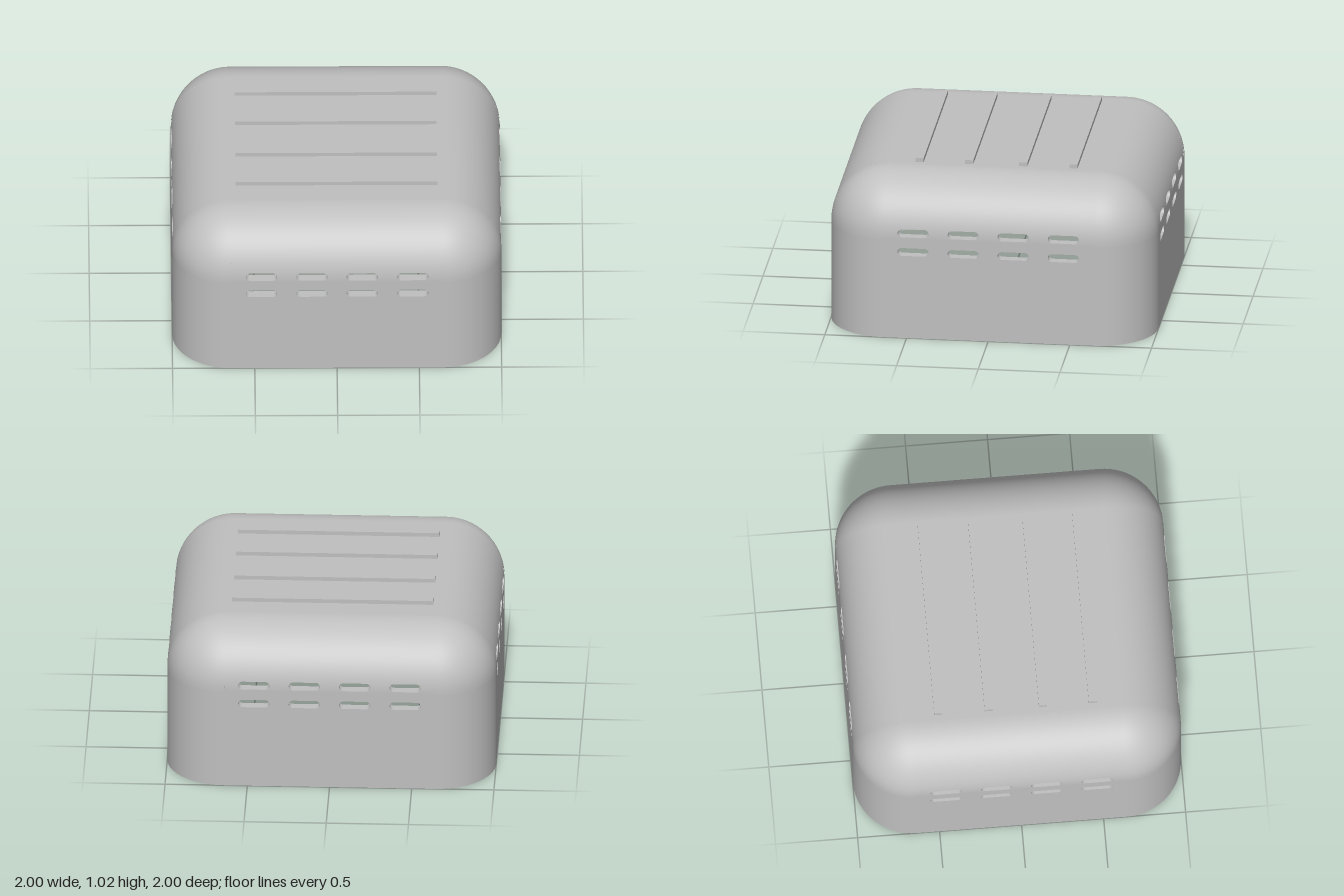
import * as THREE from 'three';

const FLAT = 0.64;      // half length of the flat part of each wall, and height where rounding starts
const R = 0.36;         // outer rounding radius
const T = 0.06;         // wall thickness
const RI = R - T;       // inner rounding radius
const STRIP = 0.08;     // height of the bent strip holding the upper slots
const SLOTS_X = [-0.46, -0.153, 0.153, 0.46];

const shellMaterial = new THREE.MeshStandardMaterial({ color: 0xc0c0c0 });
shellMaterial.name = 'light grey plastic';

function add(parent, name, geometry) {
  const mesh = new THREE.Mesh(geometry, shellMaterial);
  mesh.name = name;
  parent.add(mesh);
  return mesh;
}

function rectangle(x0, y0, x1, y1, Type = THREE.Shape) {
  const p = new Type();
  p.moveTo(x0, y0);
  p.lineTo(x1, y0);
  p.lineTo(x1, y1);
  p.lineTo(x0, y1);
  p.closePath();
  return p;
}

// Ventilation slot with round ends
function slot(cx, cy, w = 0.19, h = 0.05) {
  const p = new THREE.Path(), r = h / 2, a = w / 2 - r;
  p.moveTo(cx - a, cy - r);
  p.lineTo(cx + a, cy - r);
  p.absarc(cx + a, cy, r, -Math.PI / 2, Math.PI / 2, false);
  p.lineTo(cx - a, cy + r);
  p.absarc(cx - a, cy, r, Math.PI / 2, Math.PI * 1.5, false);
  return p;
}

function panel(y0, y1, holes, depth) {
  const shape = rectangle(-FLAT, y0, FLAT, y1);
  shape.holes.push(...holes);
  return new THREE.ExtrudeGeometry(shape, { depth, bevelEnabled: false, curveSegments: 10 });
}

// Lay a panel on the rounding: its front on the outer arc, its back on the inner arc
function bend(geometry) {
  const p = geometry.attributes.position, n = geometry.attributes.normal;
  for (let i = 0; i < p.count; i++) {
    const r = p.getZ(i) > T / 2 ? R : RI;
    const h = Math.max(0, p.getY(i) - FLAT);
    const c = Math.sqrt(r * r - h * h);
    const s = n.getZ(i);
    p.setZ(i, FLAT + c);
    if (Math.abs(s) > 0.5) n.setXYZ(i, 0, (s * h) / r, (s * c) / r);
  }
  return geometry;
}

// Rounded top edge of a wall, facing outward (1) or inward (-1)
function cove(r, facing) {
  const g = new THREE.PlaneGeometry(FLAT * 2, 1, 1, 20);
  if (facing < 0) g.rotateY(Math.PI);
  const p = g.attributes.position, n = g.attributes.normal;
  const start = Math.asin(STRIP / r);
  for (let i = 0; i < p.count; i++) {
    const a = THREE.MathUtils.lerp(start, Math.PI / 2, p.getY(i) + 0.5);
    p.setXYZ(i, p.getX(i), FLAT + r * Math.sin(a), FLAT + r * Math.cos(a));
    n.setXYZ(i, 0, facing * Math.sin(a), facing * Math.cos(a));
  }
  return g;
}

// Corner profile: straight up, then a quarter arc to the top
function cornerProfile(r) {
  const points = [new THREE.Vector2(r, 0), new THREE.Vector2(r, FLAT - 0.01)];
  for (let i = 0; i <= 20; i++) {
    const a = (i / 20) * Math.PI / 2;
    points.push(new THREE.Vector2(i === 20 ? 0 : r * Math.cos(a), FLAT + r * Math.sin(a)));
  }
  return points;
}

const quarterLathe = (points) =>
  new THREE.LatheGeometry(points, 20, 0, Math.PI / 2).translate(FLAT, 0, FLAT);

function makeSide() {
  const side = new THREE.Group();
  const lowSlots = () => SLOTS_X.map((x) => slot(x, 0.555));
  const highSlots = SLOTS_X.map((x) => slot(x, 0.675));
  // Shallow catches cut only into the inner layer of the wall
  const catches = [-0.39, 0.39].map((x) => rectangle(x - 0.125, 0.045, x + 0.125, 0.105, THREE.Path));

  add(side, 'outerWall', panel(0, FLAT, lowSlots(), T / 2).translate(0, 0, 1 - T / 2));
  add(side, 'innerWall', panel(0, FLAT, [...lowSlots(), ...catches], T / 2).translate(0, 0, 1 - T));
  add(side, 'upperSlotStrip', bend(panel(FLAT, FLAT + STRIP, highSlots, T)));
  add(side, 'outerTopEdge', cove(R, 1));
  add(side, 'innerTopEdge', cove(RI, -1));
  add(side, 'outerCorner', quarterLathe(cornerProfile(R)));
  add(side, 'innerCorner', quarterLathe(cornerProfile(RI).reverse()));
  add(side, 'cornerRim', quarterLathe([new THREE.Vector2(RI, 0), new THREE.Vector2(R, 0)]));
  return side;
}

export function createModel() {
  const model = new THREE.Group();
  model.name = 'ventedCover';

  // Four equal walls, each with one corner
  ['frontSide', 'leftSide', 'backSide', 'rightSide'].forEach((name, i) => {
    const side = makeSide();
    side.name = name;
    side.rotation.y = (i * Math.PI) / 2;
    model.add(side);
  });

  add(model, 'topPlate', new THREE.BoxGeometry(FLAT * 2, T, FLAT * 2).translate(0, 1 - T / 2, 0));

  // Raised ribs on the top
  for (const z of [-0.475, -0.168, 0.163, 0.467]) {
    add(model, 'topRib', new THREE.BoxGeometry(1.225, 0.035, 0.05)).position.set(0, 1.0075, z);
  }

  // Stiffening ribs under the top
  for (const x of [-0.45, 0.45]) {
    add(model, 'ceilingRib', new THREE.BoxGeometry(0.05, 0.12, 1.24)).position.set(x, 0.89, 0);
  }
  return model;
}
